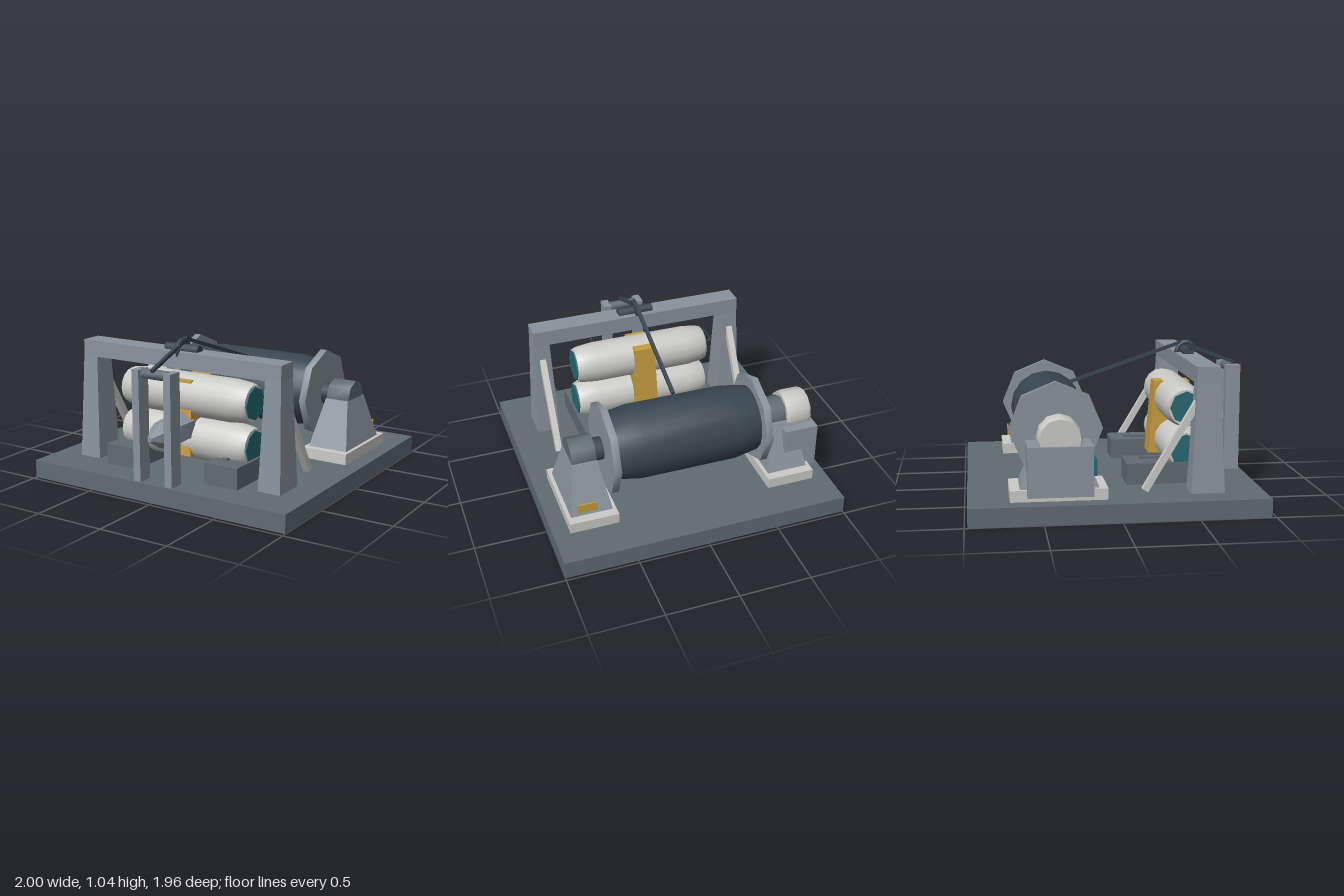
import * as THREE from 'three';
import { toCreasedNormals } from 'three/addons/utils/BufferGeometryUtils.js';

const paint = (name, color) => {
  const m = new THREE.MeshStandardMaterial({ color });
  m.name = name;
  return m;
};

export function createModel() {
  const model = new THREE.Group();
  model.name = 'winchRig';
  const slate = paint('slate', 0x606c72);
  const steel = paint('steel', 0x8a939d);
  const dark = paint('dark steel', 0x394650);
  const pale = paint('pale grey', 0xcbcbc8);
  const teal = paint('teal', 0x276a71);
  const gold = paint('gold', 0xc79d40);

  const add = (name, geometry, material) => {
    const mesh = new THREE.Mesh(geometry, material);
    mesh.name = name;
    model.add(mesh);
    return mesh;
  };
  // Box given by its ranges on each axis
  const box = (name, mat, [x0, x1], [y0, y1], [z0, z1]) =>
    add(name, new THREE.BoxGeometry(x1 - x0, y1 - y0, z1 - z0), mat)
      .position.set((x0 + x1) / 2, (y0 + y1) / 2, (z0 + z1) / 2);
  // Box whose top rectangle differs from its bottom one; rectangles are [x0, x1, z0, z1]
  const taper = (name, mat, y0, y1, low, high) => {
    const g = new THREE.BoxGeometry(1, 1, 1);
    const p = g.attributes.position;
    for (let i = 0; i < p.count; i++) {
      const up = p.getY(i) > 0;
      const r = up ? high : low;
      p.setXYZ(i, r[p.getX(i) > 0 ? 1 : 0], up ? y1 : y0, r[p.getZ(i) > 0 ? 3 : 2]);
    }
    g.computeVertexNormals();
    add(name, g, mat);
  };
  // Closed turned part along the x or z axis; profile is [radius, distance along axis]
  const turned = (name, mat, axis, sides, profile, [x, y, z]) => {
    const pts = [[0, profile[0][1]], ...profile, [0, profile[profile.length - 1][1]]];
    const lathe = new THREE.LatheGeometry(pts.map(([r, t]) => new THREE.Vector2(r, t)), sides);
    const g = toCreasedNormals(lathe, 0.9);
    if (axis === 'x') g.rotateZ(-Math.PI / 2);
    else g.rotateX(Math.PI / 2);
    add(name, g, mat).position.set(x, y, z);
  };
  // Straight bar between two points in the plane at x
  const bar = (name, mat, x, [y0, z0], [y1, z1], width, depth) => {
    const length = Math.hypot(y1 - y0, z1 - z0);
    const mesh = add(name, new THREE.BoxGeometry(width, length, depth), mat);
    mesh.position.set(x, (y0 + y1) / 2, (z0 + z1) / 2);
    mesh.rotation.x = Math.atan2(z1 - z0, y1 - y0);
  };

  box('baseSlab', slate, [-1, 1], [0, 0.125], [-0.98, 0.97]);

  // Winding drum on its two pedestals
  const axis = [0, 0.53, -0.39];
  turned('drum', dark, 'x', 16,
    [[0.23, -0.52], [0.26, -0.34], [0.26, 0.34], [0.23, 0.52]], axis);
  turned('drumAxle', dark, 'x', 12, [[0.08, -0.7], [0.08, 0.7]], axis);
  for (const s of [-1, 1]) {
    const span = (a, b) => (s > 0 ? [a, b] : [-b, -a]);
    const at = (x) => [s * x, axis[1], axis[2]];
    turned('drumFlange', steel, 'x', 8, [[0.315, -0.025], [0.315, 0.025]], at(0.54));
    turned('bearing', slate, 'x', 8, [[0.118, -0.085], [0.118, 0.085]], at(0.715));
    box('pedestalPad', pale, span(0.545, 0.885), [0.125, 0.2], [-0.71, -0.08]);
    taper('pedestal', steel, 0.2, 0.525,
      [...span(0.57, 0.86), -0.645, -0.135], [...span(0.63, 0.8), -0.52, -0.26]);
  }
  box('ratingPlate', gold, [0.68, 0.82], [0.24, 0.305], [-0.667, -0.658]);

  // Drive motor and its housing
  turned('motor', pale, 'x', 12,
    [[0.135, -0.09], [0.145, -0.06], [0.145, 0.06], [0.14, 0.09]], [-0.84, 0.53, -0.39]);
  box('motorHousing', steel, [-0.95, -0.705], [0.165, 0.49], [-0.6, -0.18]);
  box('controlPanel', teal, [-0.915, -0.79], [0.29, 0.4], [-0.18, -0.155]);

  // Gantry with rear braces
  box('gantryBeam', steel, [-0.785, 0.785], [0.845, 0.957], [0.51, 0.66]);
  for (const s of [-1, 1]) {
    const span = (a, b) => (s > 0 ? [a, b] : [-b, -a]);
    taper('gantryLeg', steel, 0.125, 0.85,
      [...span(0.645, 0.81), 0.475, 0.7], [...span(0.67, 0.785), 0.513, 0.663]);
    bar('gantryBrace', pale, s * 0.728, [0.14, 0.18], [0.72, 0.525], 0.045, 0.045);
    // Cradle block below the tanks
    box('cradleBlock', slate, span(0.275, 0.525), [0.125, 0.27], [0.09, 0.76]);
    box('cradleRib', slate, span(0.345, 0.385), [0.27, 0.285], [0.2, 0.65]);
    // Front posts holding the guide roller
    box('guidePost', steel, span(0.097, 0.152), [0.125, 0.878], [0.85, 0.955]);
  }

  // Pair of stacked tanks with end caps, joined by a wedge-shaped clamp
  for (const y of [0.345, 0.64]) {
    turned('tank', pale, 'x', 16,
      [[0.122, -0.497], [0.135, -0.46], [0.147, -0.35], [0.147, 0.35], [0.135, 0.46], [0.122, 0.497]],
      [0, y, 0.5]);
    turned('tankCaps', teal, 'x', 8, [[0.112, -0.507], [0.112, 0.507]], [0, y, 0.5]);
  }
  taper('tankClamp', gold, 0.245, 0.76, [-0.09, 0.09, 0.31, 0.645], [-0.075, 0.075, 0.352, 0.606]);

  // Pointed float between the front posts
  turned('float', steel, 'z', 6,
    [[0.11, 0.6], [0.11, 0.79], [0.082, 0.87], [0.028, 0.96], [0.02, 0.978]], [0, 0.435, 0]);

  // Guide roller, sheave and cable
  turned('guideRoller', slate, 'x', 8, [[0.035, -0.105], [0.035, 0.105]], [0, 0.85, 0.9]);
  turned('sheaveAxle', dark, 'x', 8, [[0.037, -0.13], [0.037, 0.13]], [0, 0.962, 0.585]);
  const sheave = add('sheave', new THREE.TorusGeometry(0.067, 0.017, 6, 10), dark);
  sheave.rotation.y = Math.PI / 2;
  sheave.position.set(0, 0.962, 0.59);
  bar('frontCable', dark, 0, [0.88, 0.94], [1.015, 0.58], 0.024, 0.022);
  bar('drumCable', dark, 0, [1.03, 0.56], [0.755, -0.25], 0.024, 0.022);

  return model;
}
